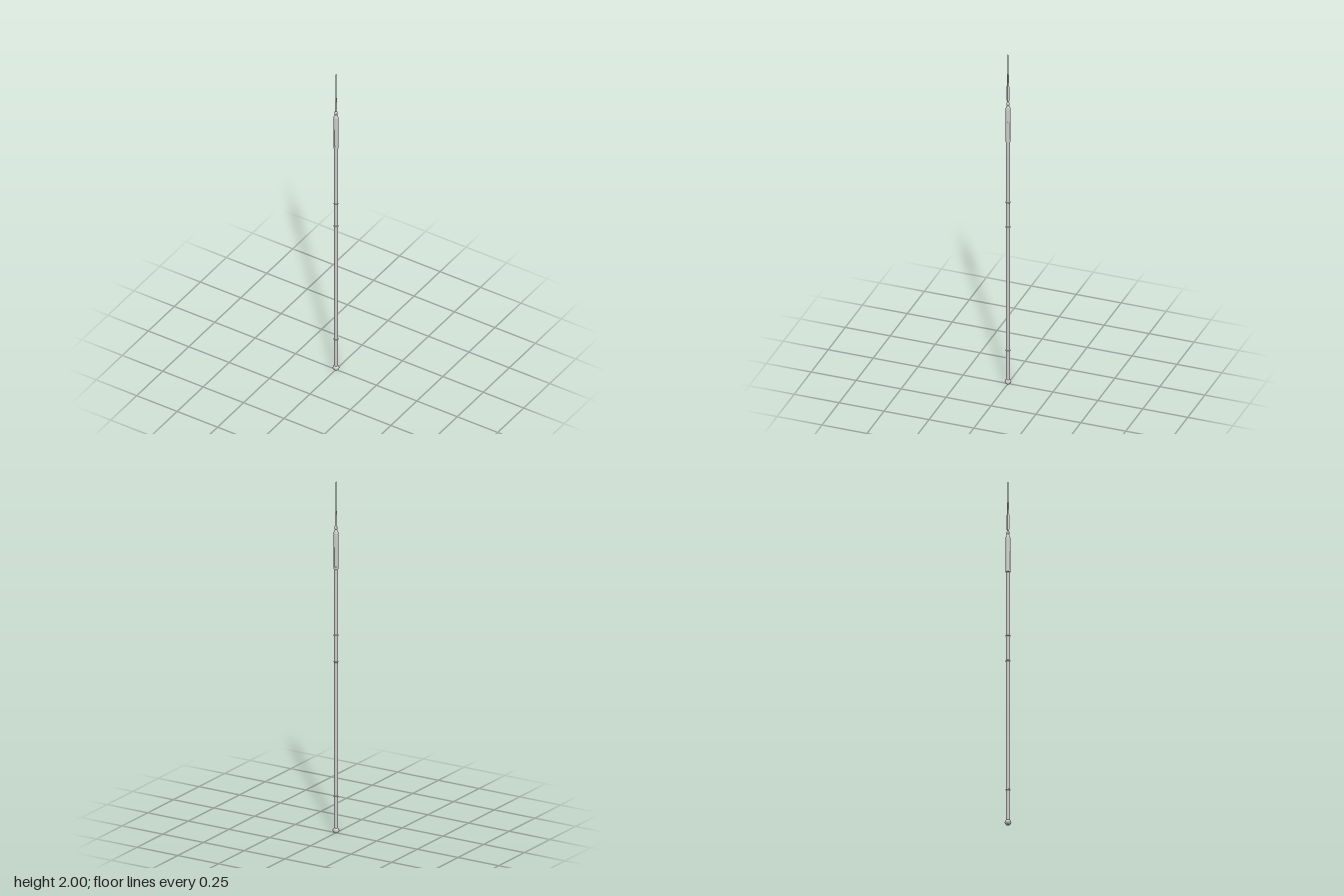
import * as THREE from 'three';

const SIDES = 12;

export function createModel() {
  const spear = new THREE.Group();
  spear.name = 'spear';
  const material = new THREE.MeshStandardMaterial({ color: 0xcccccc, flatShading: true });

  const add = (name, geometry) => {
    const mesh = new THREE.Mesh(geometry, material);
    mesh.name = name;
    spear.add(mesh);
    return mesh;
  };

  // Turned part from [radius, height] pairs, bottom to top
  const turned = (name, profile, sides = SIDES) =>
    add(name, new THREE.LatheGeometry(profile.map(([r, y]) => new THREE.Vector2(r, y)), sides));

  // Long pole
  turned('shaft', [[0, 0.015], [0.01, 0.015], [0.01, 1.6], [0, 1.6]]);

  // Rounded foot cap
  turned('buttCap', [
    [0, 0], [0.009, 0], [0.015, 0.006], [0.0175, 0.012],
    [0.0165, 0.02], [0.012, 0.026], [0.0095, 0.028],
  ]);

  // Thin binding rings along the pole
  for (const y of [0.2, 0.94, 1.085]) {
    turned('bindingRing', [
      [0.0098, y - 0.004], [0.0125, y - 0.002], [0.0125, y + 0.002], [0.0098, y + 0.004],
    ]);
  }

  // Collar under the head and full upper sleeve
  turned('lowerCollar', [
    [0.0098, 1.448], [0.0135, 1.45], [0.0138, 1.457], [0.0135, 1.463], [0.0098, 1.465],
  ]);
  turned('socket', [
    [0.0098, 1.57], [0.0128, 1.57], [0.0128, 1.645], [0.0115, 1.653], [0.0085, 1.66], [0, 1.66],
  ]);

  // Two curved straps run down the sides, leaving slots at front and back
  for (const turn of [0, Math.PI]) {
    const shape = new THREE.Shape();
    const half = 1.2;
    shape.absarc(0, 0, 0.0128, -half, half, false);
    shape.absarc(0, 0, 0.0095, half, -half, true);
    shape.closePath();
    const strap = new THREE.ExtrudeGeometry(shape, {
      depth: 0.11, bevelEnabled: false, curveSegments: 5,
    });
    strap.rotateX(-Math.PI / 2);
    strap.rotateY(turn);
    strap.translate(0, 1.462, 0);
    add('socketStrap', strap);
  }

  // Neck with a small bead below the blade
  turned('neck', [
    [0.0085, 1.658], [0.006, 1.667], [0.009, 1.673], [0.009, 1.679], [0.006, 1.685], [0, 1.69],
  ]);

  // Slender diamond blade, wide in z and thin in x, drawn out to a needle
  const blade = turned('blade', [
    [0, 1.675], [0.006, 1.682], [0.0085, 1.71], [0.007, 1.78],
    [0.0045, 1.84], [0.003, 1.9], [0.0018, 1.96], [0, 2],
  ], 4);
  blade.scale.x = 0.6;

  return spear;
}
